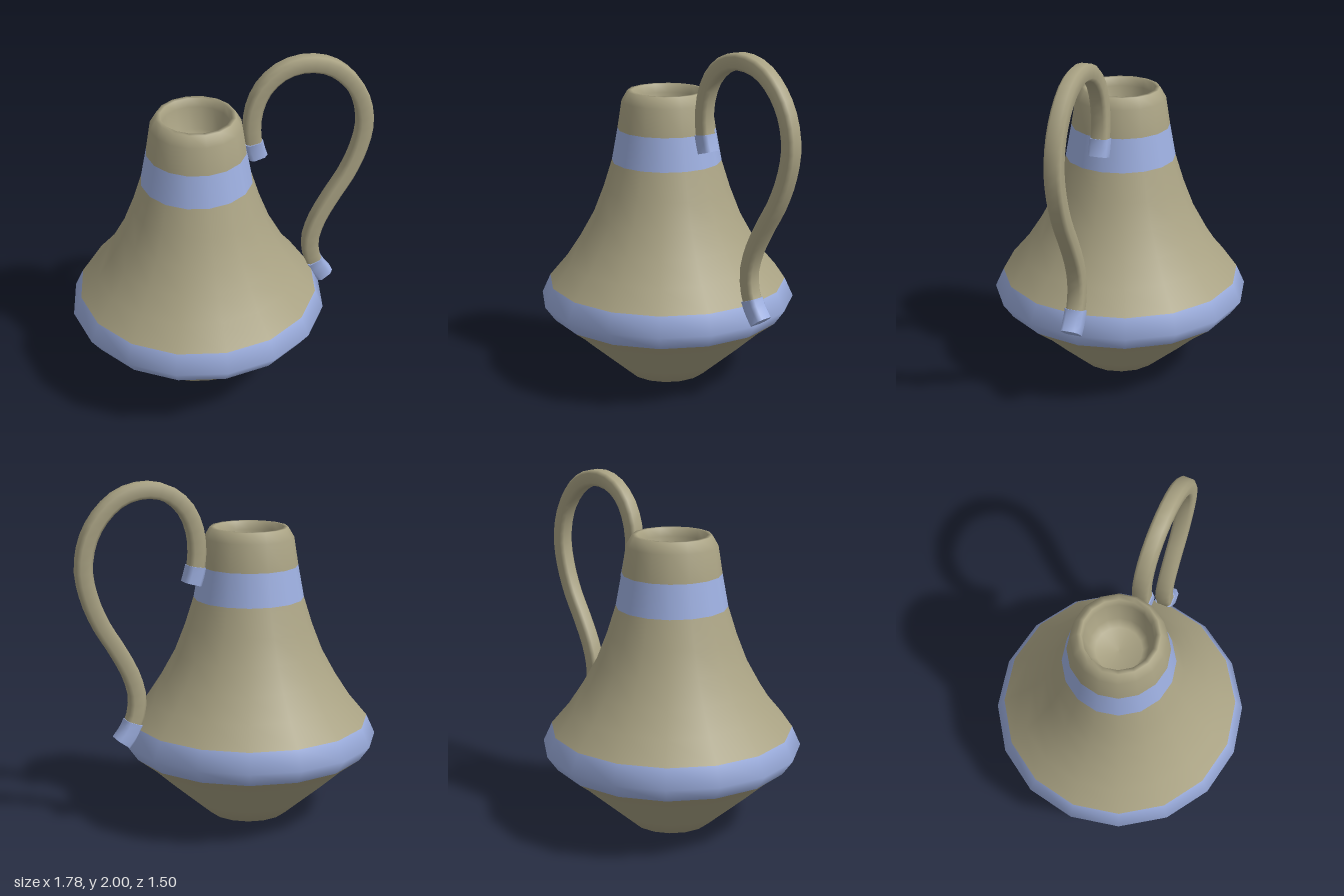
import * as THREE from 'three';

const clay = new THREE.MeshStandardMaterial({ color: 0xa9a283 });
const blue = new THREE.MeshStandardMaterial({ color: 0x9dafe0 });
const AXIS_X = -0.145;

// Sixteen-sided turned section, points are [radius, height]
function turned(name, points, material) {
  const profile = points.map(([r, y]) => new THREE.Vector2(r, y));
  const mesh = new THREE.Mesh(new THREE.LatheGeometry(profile, 16), material);
  mesh.name = name;
  mesh.position.x = AXIS_X;
  return mesh;
}

// Bevelled square cross-section swept along a curve lying in the xy plane
const SECTION = [[1, -0.6], [1, 0.6], [0.6, 1], [-0.6, 1], [-1, 0.6], [-1, -0.6], [-0.6, -1], [0.6, -1]];

function swept(name, curve, from, to, steps, half, material) {
  const n = SECTION.length, pos = [], idx = [];
  const addRing = (u) => {
    const p = curve.getPointAt(u), t = curve.getTangentAt(u);
    for (const [a, b] of SECTION) pos.push(p.x - t.y * a * half, p.y + t.x * a * half, b * half);
    return p;
  };
  for (let i = 0; i <= steps; i++) addRing(from + (to - from) * i / steps);
  for (let i = 0; i < steps; i++) {
    for (let j = 0; j < n; j++) {
      const a = i * n + j, b = i * n + (j + 1) % n;
      idx.push(a, b, b + n, a, b + n, a + n);
    }
  }
  // End caps with their own vertices for a sharp edge
  for (const [u, start] of [[from, true], [to, false]]) {
    const base = pos.length / 3;
    const p = addRing(u);
    pos.push(p.x, p.y, 0);
    for (let j = 0; j < n; j++) {
      const a = base + j, b = base + (j + 1) % n;
      if (start) idx.push(base + n, b, a);
      else idx.push(base + n, a, b);
    }
  }
  const geo = new THREE.BufferGeometry();
  geo.setAttribute('position', new THREE.Float32BufferAttribute(pos, 3));
  geo.setIndex(idx);
  geo.computeVertexNormals();
  const mesh = new THREE.Mesh(geo, material);
  mesh.name = name;
  return mesh;
}

export function createModel() {
  const model = new THREE.Group();
  model.name = 'jug';

  // Body from foot to mouth, with two painted bands
  model.add(
    turned('lowerBody', [[0, 0], [0.235, 0], [0.35, 0.1], [0.465, 0.2], [0.58, 0.305], [0.69, 0.39]], clay),
    turned('bellyBand', [[0.69, 0.39], [0.75, 0.475], [0.7, 0.585]], blue),
    turned('shoulder', [[0.7, 0.585], [0.595, 0.71], [0.51, 0.84], [0.43, 0.985], [0.37, 1.14], [0.32, 1.3]], clay),
    turned('neckBand', [[0.32, 1.3], [0.285, 1.49]], blue),
    turned('mouth', [[0.285, 1.49], [0.26, 1.65], [0.225, 1.71], [0.2, 1.71], [0.19, 1.66], [0.165, 1.53], [0.13, 1.48], [0, 1.47]], clay),
  );

  // Looping handle with a cuff at each end
  const path = new THREE.CatmullRomCurve3([
    [0.21, 1.405], [0.183, 1.5], [0.175, 1.6], [0.188, 1.71], [0.24, 1.83], [0.34, 1.92], [0.47, 1.953],
    [0.62, 1.92], [0.74, 1.82], [0.815, 1.69], [0.843, 1.53], [0.815, 1.37], [0.75, 1.21], [0.66, 1.06],
    [0.582, 0.91], [0.546, 0.78], [0.555, 0.67], [0.59, 0.58], [0.642, 0.51],
  ].map(([x, y]) => new THREE.Vector3(x, y, 0)));
  const handle = new THREE.Group();
  handle.name = 'handle';
  handle.add(
    swept('handleLoop', path, 0.02, 0.98, 36, 0.047, clay),
    swept('upperCuff', path, 0, 0.042, 2, 0.053, blue),
    swept('lowerCuff', path, 0.944, 1, 3, 0.054, blue),
  );
  model.add(handle);
  return model;
}
